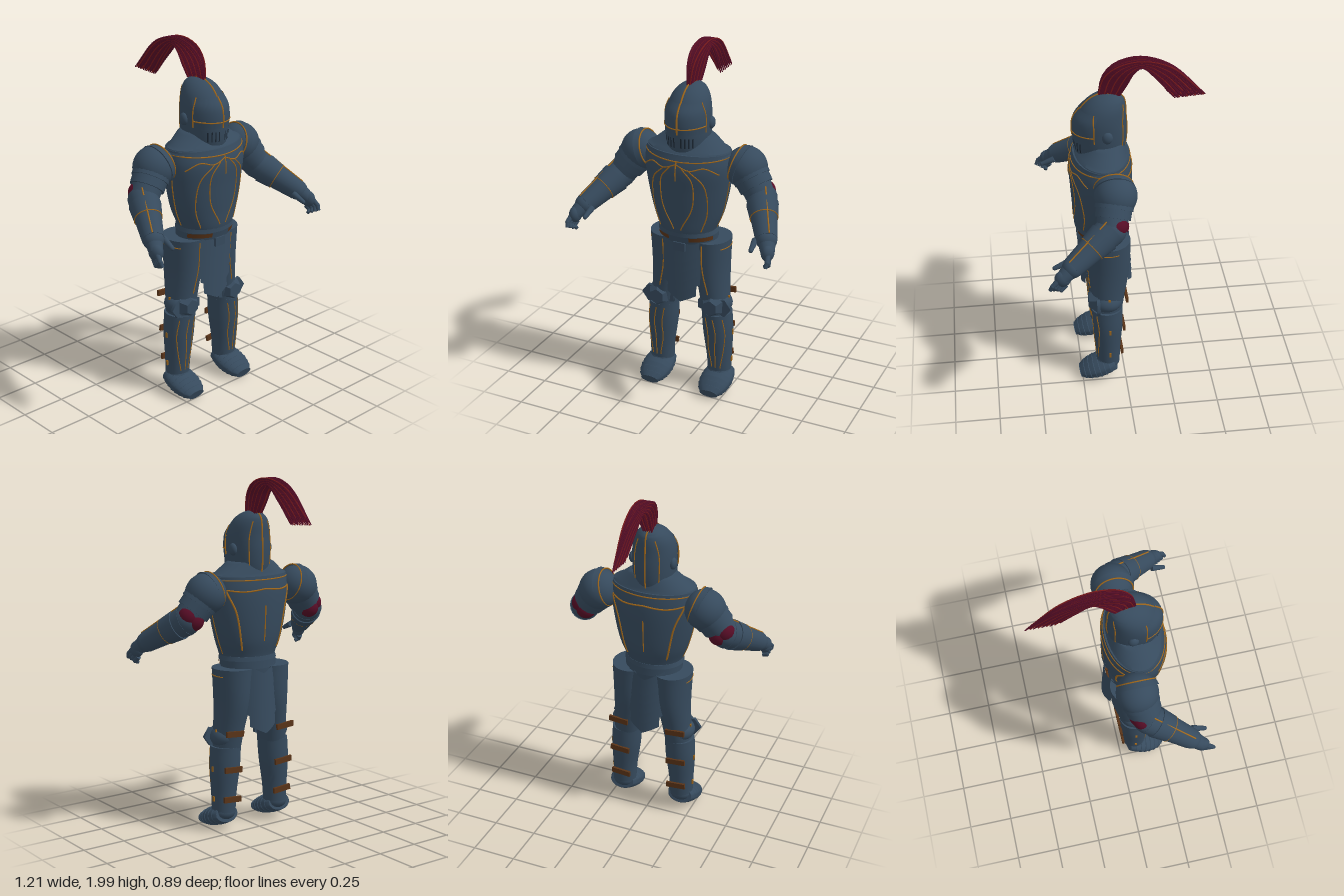
import * as THREE from 'three';
import { mergeGeometries, toCreasedNormals } from 'three/addons/utils/BufferGeometryUtils.js';

const V = (x, y, z) => new THREE.Vector3(x, y, z);
const PI = Math.PI;

export function createModel() {
  const root = new THREE.Group();
  const material = (name, color, side = THREE.FrontSide) => {
    const m = new THREE.MeshStandardMaterial({ color, side });
    m.name = name;
    return m;
  };
  const steel = material('blue steel', 0x364a5d, THREE.DoubleSide);
  const gold = material('gold trim', 0xa0681c);
  const leather = material('brown leather', 0x5a3418);
  const crimson = material('crimson', 0x560d26);
  const scarlet = material('scarlet', 0x7c1a1c);
  const dark = material('dark slot', 0x1a2531, THREE.DoubleSide);

  const add = (name, geometry, mat = steel, pos) => {
    const mesh = new THREE.Mesh(geometry, mat);
    mesh.name = name;
    if (pos) mesh.position.copy(pos);
    root.add(mesh);
    return mesh;
  };

  // Rings are [y, rx, rz, cx, cz]; smooth() resamples them along a spline
  const smooth = (rings, steps = 24) => {
    const a = new THREE.CatmullRomCurve3(rings.map(r => V(r[0], r[1], r[2])));
    const b = new THREE.CatmullRomCurve3(rings.map(r => V(r[0], r[3], r[4])));
    return Array.from({ length: steps + 1 }, (_, i) => {
      const p = a.getPoint(i / steps), q = b.getPoint(i / steps);
      return [p.x, p.y, p.z, q.y, q.z];
    });
  };
  const onRing = (r, a) => [r[3] + r[1] * Math.sin(a), r[0], r[4] + r[2] * Math.cos(a)];

  // Skin over rings; angle 0 faces the front, full turns are capped
  const loft = (rings, a0 = -PI, a1 = PI, n = 36) => {
    const full = a1 - a0 > 6.28, w = full ? n : n + 1, pos = [], idx = [];
    rings.forEach(r => {
      for (let i = 0; i < w; i++) pos.push(...onRing(r, a0 + (a1 - a0) * i / n));
    });
    for (let j = 0; j < rings.length - 1; j++) for (let i = 0; i < n; i++) {
      const k = (i + 1) % w, p = j * w, q = p + w;
      idx.push(p + i, p + k, q + k, p + i, q + k, q + i);
    }
    if (full) [0, rings.length - 1].forEach((j, top) => {
      const c = pos.length / 3, r = rings[j];
      pos.push(r[3], r[0], r[4]);
      for (let i = 0; i < n; i++) {
        const p = j * w + i, q = j * w + (i + 1) % n;
        idx.push(c, top ? p : q, top ? q : p);
      }
    });
    const g = new THREE.BufferGeometry();
    g.setAttribute('position', new THREE.Float32BufferAttribute(pos, 3));
    g.setIndex(idx);
    return toCreasedNormals(g, 0.6);
  };

  // Gold bead that follows a lofted surface through [angle, y] points
  const trim = (name, rings, pts, r = 0.0037) => {
    const path = new THREE.CatmullRomCurve3(pts.map(p => V(p[0], p[1], 0)));
    const n = pts.length * 7;
    const out = path.getPoints(n).map(p => {
      let i = 0;
      while (i < rings.length - 2 && rings[i + 1][0] < p.y) i++;
      const lo = rings[i], hi = rings[i + 1], t = (p.y - lo[0]) / (hi[0] - lo[0]);
      return V(...onRing(lo.map((v, k) => v + (hi[k] - v) * t), p.x));
    });
    return add(name, new THREE.TubeGeometry(new THREE.CatmullRomCurve3(out), n * 2, r, 5), gold);
  };

  // Tapered cylinder between two points
  const limb = (name, a, b, ra, rb, mat = steel) => {
    const d = b.clone().sub(a);
    const m = add(name, new THREE.CylinderGeometry(rb, ra, d.length(), 24), mat, a.clone().lerp(b, 0.5));
    m.quaternion.setFromUnitVectors(V(0, 1, 0), d.normalize());
  };
  const hoop = (name, at, dir, r, tube) => {
    const m = add(name, new THREE.TorusGeometry(r, tube, 6, 32), gold, at);
    m.quaternion.setFromUnitVectors(V(0, 0, 1), dir.clone().normalize());
  };
  const ball = (name, at, r, mat = steel, sc = [1, 1, 1]) =>
    add(name, new THREE.SphereGeometry(r, 28, 18), mat, at).scale.set(...sc);

  // Torso, gorget and waist
  const torso = smooth([[0.96, 0.155, 0.13, 0, 0.11], [1.0, 0.162, 0.14, 0, 0.12], [1.1, 0.2, 0.157, 0, 0.113],
    [1.25, 0.235, 0.168, 0, 0.112], [1.38, 0.25, 0.17, 0, 0.115], [1.46, 0.24, 0.152, 0, 0.11]], 30);
  add('breastplate', loft(torso, -PI, PI, 56));
  add('gorget', loft([[1.44, 0.247, 0.155, 0, 0.11], [1.465, 0.235, 0.14, 0, 0.11], [1.475, 0.21, 0.13, 0, 0.105],
    [1.525, 0.15, 0.105, 0, 0.095], [1.535, 0.13, 0.1, 0, 0.095]], -PI, PI, 48));
  add('pelvis', loft([[0.74, 0.1, 0.09, 0, 0.09], [0.82, 0.14, 0.11, 0, 0.09], [0.97, 0.155, 0.125, 0, 0.1]]));
  add('waist', loft([[0.94, 0.165, 0.135, 0, 0.108], [0.985, 0.168, 0.14, 0, 0.115]]));
  add('waistFlange', loft([[0.985, 0.172, 0.145, 0, 0.117], [1.01, 0.165, 0.143, 0, 0.119]]));
  add('buckle', new THREE.BoxGeometry(0.07, 0.05, 0.02), steel, V(0, 0.92, 0.24));
  trim('collarTrim', torso, [[-PI, 1.44], [-1.5, 1.44], [0, 1.425], [1.5, 1.44], [PI, 1.44]]);
  const belt = [[0.957, 0.171, 0.142, 0, 0.112], [0.982, 0.173, 0.145, 0, 0.116]];
  for (const s of [-1, 1]) {
    add('beltStrap', loft(belt, s * 0.8 - 0.45, s * 0.8 + 0.45, 12), leather);
    trim('chestArc', torso, [[0, 1.41], [s * 0.3, 1.385], [s * 0.65, 1.4], [s * 1.05, 1.36]]);
    trim('chestOval', torso, [[s * 0.12, 1.4], [s * 0.4, 1.3], [s * 0.42, 1.18], [s * 0.12, 1.03]]);
    trim('chestSideCurve', torso, [[s * 0.3, 1.385], [s * 0.7, 1.28], [s * 0.85, 1.12], [s * 0.8, 1.02]]);
    trim('sideSeam', torso, [[s * 1.5, 1.3], [s * 1.55, 1.15], [s * 1.6, 1.02]]);
    trim('backSeam', torso, [[s * (PI - 1.0), 1.39], [s * (PI - 0.75), 1.25], [s * (PI - 0.7), 1.05]], 0.006);
    trim('backCurve', torso, [[s * PI, 1.39], [s * (PI - 0.5), 1.38], [s * (PI - 1.0), 1.39]], 0.005);
  }
  trim('chestCentre', torso, [[0, 1.43], [0, 1.36], [0, 1.32]]);
  trim('backCentre', torso, [[PI, 1.3], [PI, 1.2], [PI, 1.1]]);

  // Helmet with raised visor, slots and ear discs
  const helm = smooth([[1.46, 0.105, 0.127, 0, 0.112], [1.52, 0.114, 0.138, 0, 0.112], [1.6, 0.119, 0.142, 0, 0.112],
    [1.68, 0.117, 0.132, 0, 0.107], [1.74, 0.102, 0.113, 0, 0.091], [1.78, 0.076, 0.088, 0, 0.076],
    [1.805, 0.04, 0.048, 0, 0.066], [1.813, 0.004, 0.005, 0, 0.062]], 36);
  add('helmet', loft(helm, -PI, PI, 44));
  const visor = smooth([[1.565, 0.121, 0.145, 0, 0.115], [1.62, 0.125, 0.149, 0, 0.115],
    [1.68, 0.122, 0.145, 0, 0.109], [1.73, 0.106, 0.12, 0, 0.098]], 12);
  const bevor = [[1.465, 0.108, 0.131, 0, 0.112], [1.515, 0.118, 0.143, 0, 0.112], [1.56, 0.121, 0.146, 0, 0.112]];
  add('visor', loft(visor, -1.3, 1.3));
  add('bevor', loft(bevor, -1.4, 1.4));
  trim('browBand', visor, [[-1.3, 1.605], [0, 1.6], [1.3, 1.605]]);
  trim('noseRidge', visor, [[0, 1.57], [0, 1.65], [0, 1.73]], 0.005);
  trim('crownRidge', helm, [[0, 1.72], [0, 1.77], [0, 1.81]], 0.005);
  trim('napeRidge', helm, [[PI, 1.48], [PI, 1.65], [PI, 1.81]], 0.005);
  for (const s of [-1, 1]) {
    trim('visorEdge', visor, [[s * 1.3, 1.57], [s * 1.28, 1.65], [s * 1.1, 1.73]]);
    trim('napeSeam', helm, [[s * 2.5, 1.5], [s * 2.5, 1.65], [s * 2.6, 1.76]]);
    for (const a of [0.17, 0.34, 0.51, 0.68]) {
      const slot = bevor.slice(1).map(([, x, z, cx, cz], i) => [i ? 1.55 : 1.495, x * 1.012, z * 1.01, cx, cz]);
      add('visorSlot', loft(slot, s * a - 0.028, s * a + 0.028, 2), dark);
    }
    ball('earDisc', V(s * 0.118, 1.603, 0.085), 0.034, steel, [0.6, 1, 0.85]);
  }

  // Plume: strands blended between an outer and an inner arc, [z, y, half width]
  const outer = [[0.12, 1.79, 0.007], [0.095, 1.9, 0.018], [0.03, 1.965, 0.028],
    [-0.1, 1.995, 0.029], [-0.26, 1.945, 0.018], [-0.445, 1.765, 0.003]];
  const inner = [[0.01, 1.8, 0.024], [-0.03, 1.87, 0.03], [-0.06, 1.925, 0.032],
    [-0.105, 1.957, 0.028], [-0.19, 1.875, 0.018], [-0.285, 1.755, 0.004]];
  const strands = [[], []];
  for (let i = 0; i < 20; i++) for (let j = -2; j <= 2; j++) {
    const pts = outer.map((o, k) => {
      const p = o.map((v, c) => v + (inner[k][c] - v) * i / 19);
      const cut = k === 5 ? ((i * 3 + j + 2) % 5) * 0.009 : 0;
      return V(p[2] * j / 2, p[1] + cut, p[0] + cut);
    });
    strands[(i * 2 + j + 8) % 5 === 0 ? 1 : 0].push(
      new THREE.TubeGeometry(new THREE.CatmullRomCurve3(pts), 20, 0.0036, 4));
  }
  add('plume', mergeGeometries(strands[0]), crimson);
  add('plumeStreaks', mergeGeometries(strands[1]), scarlet);
  add('plumeSocket', new THREE.CylinderGeometry(0.018, 0.026, 0.022, 12), gold, V(0, 1.805, 0.065));

  // Chevron skirt plates, front and back
  for (const [face, zTop, zLow, bend] of [[1, 0.237, 0.222, 2.2], [-1, 0.042, 0.052, 4]]) {
    for (let k = 0; k < 5; k++) {
      const w = [0.108, 0.112, 0.113, 0.11, 0.088][k], y = 0.885 - k * 0.06;
      const g = new THREE.PlaneGeometry(2 * w, 0.1, 12, 2), p = g.attributes.position;
      for (let i = 0; i < p.count; i++) {
        const x = p.getX(i), h = p.getY(i);
        p.setXYZ(i, x, y + h + (Math.abs(x) - 0.04) * 0.5,
          zTop + (zLow - zTop) * k / 4 - bend * x * x + (0.05 - h) * 0.1);
      }
      g.computeVertexNormals();
      add(face > 0 ? 'frontSkirtPlate' : 'backSkirtPlate', g).rotation.y = face > 0 ? 0 : PI;
    }
  }

  for (const s of [-1, 1]) {
    // Thigh and greave
    const thigh = smooth([[0.48, 0.078, 0.086, s * 0.16, 0.1], [0.6, 0.084, 0.098, s * 0.147, 0.092],
      [0.75, 0.098, 0.116, s * 0.13, 0.085], [0.945, 0.113, 0.125, s * 0.123, 0.087]], 14);
    add('thighPlate', loft(thigh));
    const shin = smooth([[0.12, 0.068, 0.066, s * 0.182, 0.096], [0.22, 0.072, 0.072, s * 0.18, 0.098],
      [0.38, 0.086, 0.086, s * 0.172, 0.098], [0.5, 0.086, 0.09, s * 0.165, 0.1]], 14);
    add('greave', loft(shin));
    trim('thighSeam', thigh, [[-s * 0.05, 0.93], [-s * 0.1, 0.8], [s * 0.05, 0.63]]);
    trim('thighHipLine', thigh, [[s * 0.9, 0.905], [s * 1.5, 0.905], [s * 2.0, 0.905]], 0.003);
    for (const a of [-0.45, 0.1, 0.75])
      trim('shinSeam', shin, [[s * a, 0.48], [s * (a + 0.12), 0.38], [s * a, 0.28], [s * a * 0.6, 0.16]], 0.0032);

    // Knee cap with outer and inner wings
    const cap = add('kneeCap', new THREE.CylinderGeometry(0.045, 0.075, 0.05, 6).toNonIndexed(), steel, V(s * 0.165, 0.555, 0.18));
    cap.geometry.computeVertexNormals();
    cap.rotation.x = PI / 2;
    ball('kneeJoint', V(s * 0.165, 0.55, 0.1), 0.088, steel, [1, 0.75, 1]);
    for (const [x, r] of [[0.22, 0.056], [0.11, 0.042]]) {
      const wing = add('kneeWing', new THREE.CylinderGeometry(r, r, 0.018, 5), steel, V(s * x, 0.55, 0.155));
      wing.rotation.set(PI / 2, s * PI / 2, 0);
    }

    // Leather straps behind the leg, with studs on the outside
    for (const [y, z, x] of [[0.2, 0.02, 0.252], [0.375, 0.008, 0.257], [0.585, -0.008, 0.233]]) {
      const strap = add('legStrap', new THREE.BoxGeometry(0.115, 0.032, 0.014), leather, V(s * 0.175, y, z));
      add('strapStud', new THREE.BoxGeometry(0.01, 0.03, 0.012), gold, V(s * x, y, 0.092));
      strap.rotation.z = s * 0.08;
    }

    // Overlapping foot plates, lofted from heel to toe
    const size = [[0.075, 0.05], [0.086, 0.055], [0.092, 0.057], [0.095, 0.057], [0.094, 0.055], [0.088, 0.049], [0.077, 0.04], [0.055, 0.027]];
    const foot = size.flatMap(([rx, rz], i) => [[i * 0.03, rx * 0.96, rz * 0.95, 0, 0], [i * 0.03 + 0.003, rx, rz, 0, 0]]);
    add('footPlates', loft(foot), steel, V(s * 0.187, 0.109, 0.06)).rotation.x = 1.9;
    ball('ankle', V(s * 0.184, 0.115, 0.1), 0.07, steel, [1, 0.75, 1]);

    // Shoulder with flange and overlapping lames
    const S = V(s * 0.315, 1.375, 0.065), E = V(s * 0.42, 1.235, 0.1), W = V(s * 0.54, 1.1, 0.315);
    const up = E.clone().sub(S), fore = W.clone().sub(E);
    ball('pauldron', S, 0.114);
    limb('pauldronFlange', V(s * 0.265, 1.395, 0.07), V(s * 0.295, 1.385, 0.07), 0.104, 0.116);
    hoop('pauldronTrim', V(s * 0.264, 1.395, 0.07), V(s, -0.3, 0), 0.104, 0.004);
    for (let i = 0; i < 2; i++) {
      const t = 0.1 + i * 0.27;
      limb('armLame', S.clone().addScaledVector(up, t), S.clone().addScaledVector(up, t + 0.3), 0.102 - i * 0.006, 0.102 - i * 0.008);
    }

    // Elbow, padding and forearm
    limb('upperArm', S, E, 0.09, 0.08);
    ball('elbow', E, 0.082);
    ball('elbowPadding', V(s * 0.425, 1.262, 0.073), 0.06, crimson);
    ball('elbowPaddingBack', V(s * 0.398, 1.238, 0.062), 0.058, crimson);
    limb('forearm', E, W, 0.084, 0.058);
    limb('forearmGuard', E.clone().addScaledVector(fore, 0.18), E.clone().addScaledVector(fore, 0.5), 0.086, 0.075);
    hoop('forearmTrim', E.clone().addScaledVector(fore, 0.5), fore, 0.073, 0.003);
    const side = V(s * 0.35, 0.85, 0.3).normalize();
    limb('forearmSeam', E.clone().addScaledVector(side, 0.086), W.clone().addScaledVector(side, 0.058), 0.004, 0.004, gold);

    // Hand
    ball('wrist', W, 0.056);
    limb('handBack', W, V(s * 0.572, 1.055, 0.375), 0.05, 0.036);
    ball('palm', V(s * 0.57, 1.055, 0.37), 0.046, steel, [0.75, 1, 0.95]);
    for (let i = 0; i < 4; i++) {
      const a = V(s * (0.582 - i * 0.004), 1.052 - i * 0.013, 0.395 - i * 0.013);
      const b = V(s * (0.59 - i * 0.004), 1.025 - i * 0.012, 0.424 - i * 0.015);
      const c = V(s * (0.586 - i * 0.01), 0.998 - i * 0.007, 0.438 - i * 0.018);
      limb('finger', a, b, 0.015, 0.013);
      limb('fingerTip', b, c, 0.013, 0.01);
      ball('knuckle', b, 0.0135);
    }
    limb('thumb', V(s * 0.485, 1.095, 0.335), V(s * 0.49, 1.065, 0.405), 0.018, 0.012);
    ball('thumbTip', V(s * 0.49, 1.065, 0.405), 0.012);
  }
  return root;
}
